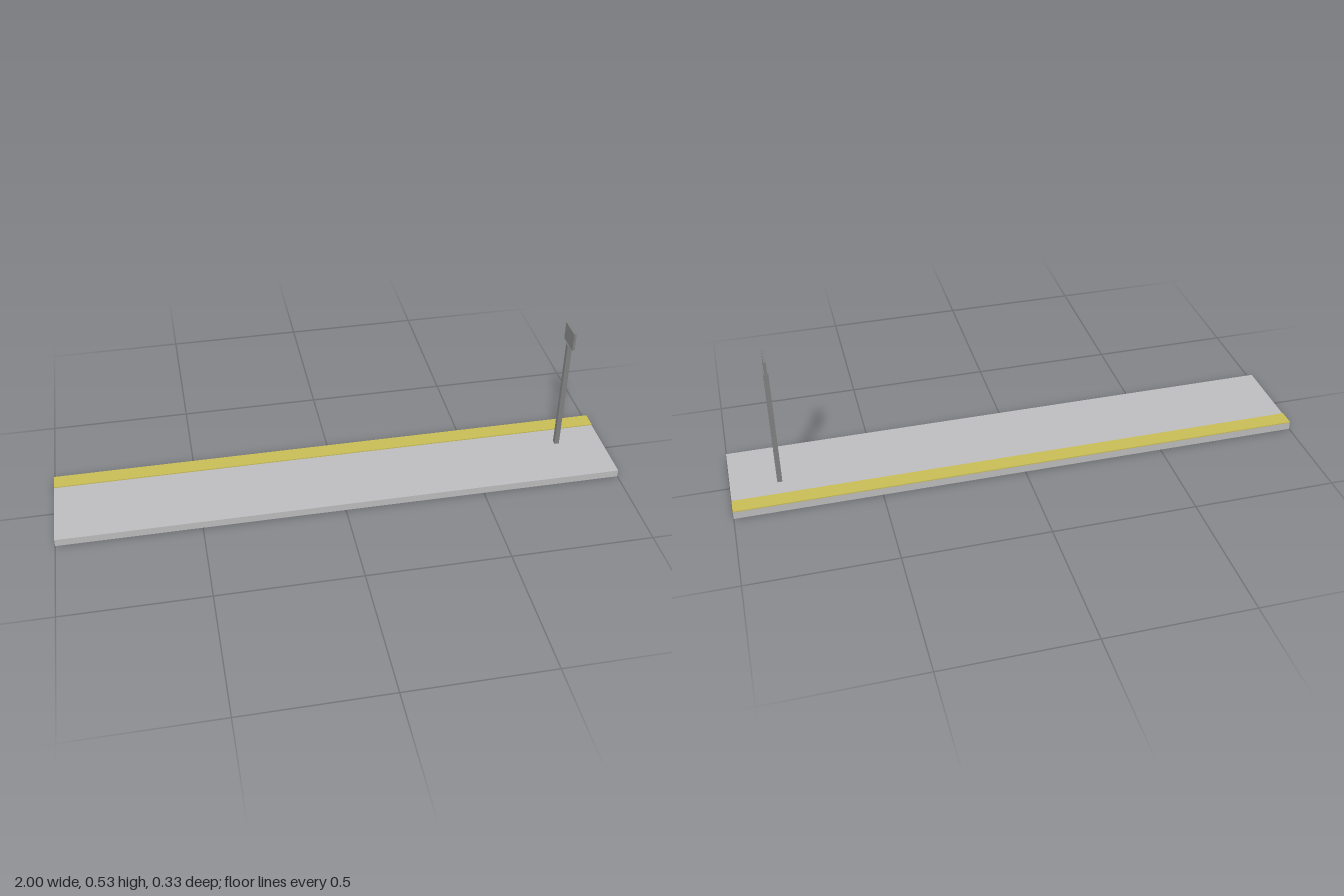
import * as THREE from 'three';

const material = (name, color) => {
  const m = new THREE.MeshStandardMaterial({ color });
  m.name = name;
  return m;
};

export function createModel() {
  const concrete = material('concrete grey', 0xbcbbbd);
  const yellow = material('safety yellow', 0xc8bc56);
  const metal = material('dark grey metal', 0x808080);
  const group = new THREE.Group();
  group.name = 'platform';

  // Box placed by its base height
  const addBox = (name, mat, [w, h, d], [x, baseY, z]) => {
    const mesh = new THREE.Mesh(new THREE.BoxGeometry(w, h, d), mat);
    mesh.name = name;
    mesh.position.set(x, baseY + h / 2, z);
    group.add(mesh);
  };

  // Slab with a raised warning strip along its back edge
  addBox('platformSlab', concrete, [2, 0.027, 0.334], [0, 0, 0]);
  addBox('warningStrip', yellow, [2, 0.004, 0.058], [0, 0.027, -0.138]);

  // Sign post and board, facing along the platform
  addBox('signPost', metal, [0.017, 0.435, 0.017], [0.833, 0.027, -0.033]);
  addBox('signBoard', metal, [0.0085, 0.066, 0.083], [0.833, 0.462, -0.033]);

  return group;
}
